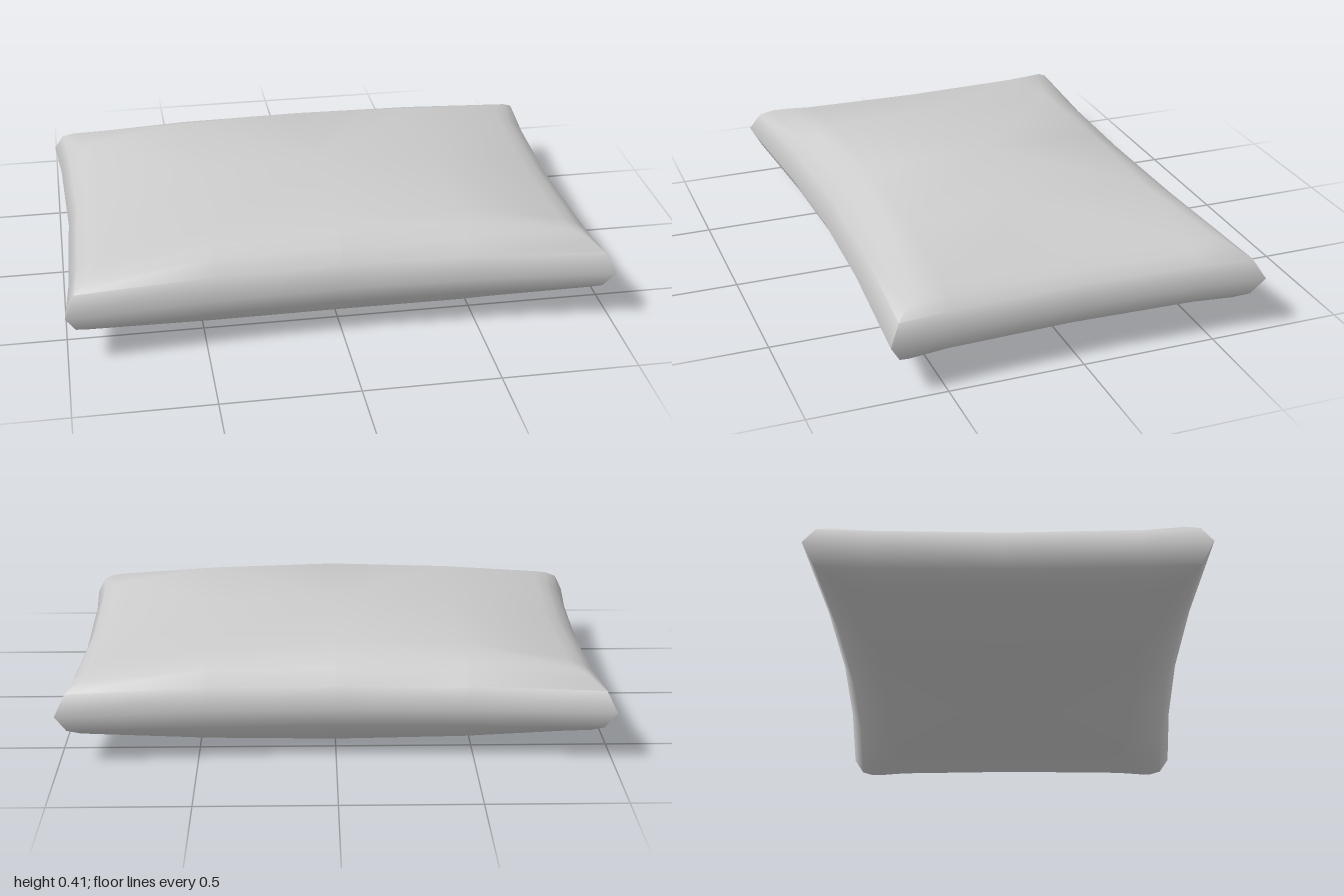
import * as THREE from 'three';
import { toCreasedNormals } from 'three/addons/utils/BufferGeometryUtils.js';

const MID = 0.207; // height of the seam
// Rim rings from the seam inward: corner x, corner z, height, extra height along front/back
const RINGS = [
  { x: 1.0, z: 0.7, h: 0, bulge: 0 },
  { x: 0.965, z: 0.66, h: 0.07, bulge: 0.008 },
  { x: 0.92, z: 0.615, h: 0.1, bulge: 0.03 },
  { x: 0.87, z: 0.57, h: 0.12, bulge: 0.042 },
];
// Values by grid step: 0 = middle, 1 = quarter, 2 = corner
const BOW_X = [0.035, 0.02, 0];
const BOW_Z = [0.05, 0.037, 0];
const BULGE = [1, 0.85, 0];

// Node of a 5 x 5 grid (i, j from -2 to 2); perimeter nodes lie on rim ring k
function node(i, j, k, side) {
  const a = Math.abs(i), b = Math.abs(j), r = RINGS[k];
  const x = a === 2 ? Math.sign(i) * (r.x - BOW_X[b]) : i * 0.47;
  const z = b === 2 ? Math.sign(j) * (r.z - BOW_Z[a]) : j * 0.465;
  let h = 0.207 - 0.014 * (a + b);
  if (a === 2 || b === 2) h = r.h + (b === 2 ? r.bulge * BULGE[a] : 0);
  return [x, MID + side * h, z];
}

function cushionGeometry() {
  const pos = [];
  const tri = (side, a, b, c) => pos.push(...a, ...(side > 0 ? b : c), ...(side > 0 ? c : b));
  const quad = (side, a, b, c, d) => {
    tri(side, a, b, c);
    tri(side, a, c, d);
  };

  // Walk around the grid perimeter
  const loop = [];
  for (let t = -2; t < 2; t++) loop.push([-2, t]);
  for (let t = -2; t < 2; t++) loop.push([t, 2]);
  for (let t = 2; t > -2; t--) loop.push([2, t]);
  for (let t = 2; t > -2; t--) loop.push([t, -2]);

  for (const side of [1, -1]) {
    // Rounded rim
    for (let k = 0; k < 3; k++) {
      loop.forEach(([i, j], n) => {
        const [p, q] = loop[(n + 1) % loop.length];
        quad(side, node(i, j, k, side), node(p, q, k, side),
          node(p, q, k + 1, side), node(i, j, k + 1, side));
      });
    }
    // Broad face, each cell split from its outer corner toward the middle
    for (let i = -2; i < 2; i++) {
      for (let j = -2; j < 2; j++) {
        const c = [[i, j], [i, j + 1], [i + 1, j + 1], [i + 1, j]]
          .map(([u, v]) => node(u, v, 3, side));
        if ((i < 0) === (j < 0)) quad(side, c[0], c[1], c[2], c[3]);
        else quad(side, c[1], c[2], c[3], c[0]);
      }
    }
  }
  const geometry = new THREE.BufferGeometry();
  geometry.setAttribute('position', new THREE.Float32BufferAttribute(pos, 3));
  return toCreasedNormals(geometry, 1.1); // only the corner ridges stay sharp
}

export function createModel() {
  const group = new THREE.Group();
  group.name = 'pillow';
  const cushion = new THREE.Mesh(
    cushionGeometry(),
    new THREE.MeshStandardMaterial({ color: 0xcccccc })
  );
  cushion.name = 'cushion';
  group.add(cushion);
  return group;
}
